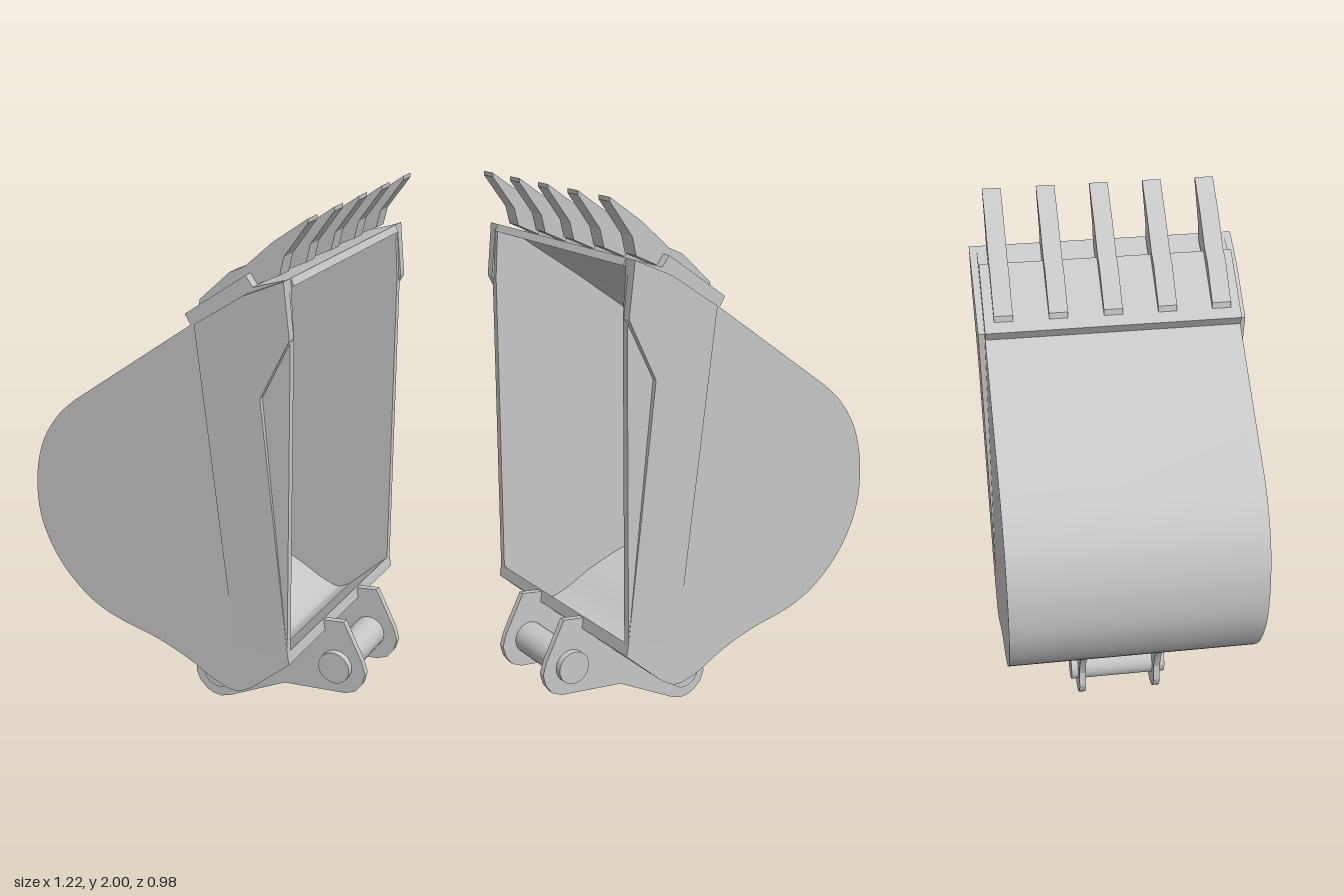
import * as THREE from 'three';
import { toCreasedNormals } from 'three/addons/utils/BufferGeometryUtils.js';

const HALF = 0.463;   // half width of the bucket
const WALL = 0.027;   // side plate thickness
const steel = new THREE.MeshStandardMaterial({ color: 0xc6c6c6 });
steel.name = 'steelGrey';

const vecs = (list) => list.map(([x, y]) => new THREE.Vector2(x, y));

// Extrude an XY outline between two z values, smooth over gentle bends only
function slab(points, z0, z1) {
  const g = new THREE.ExtrudeGeometry(new THREE.Shape(points), { depth: z1 - z0, bevelEnabled: false });
  g.translate(0, 0, z0);
  return toCreasedNormals(g, 0.25);
}

function add(parent, name, geometry) {
  const m = new THREE.Mesh(geometry, steel);
  m.name = name;
  parent.add(m);
  return m;
}

// Outer bucket profile: lip, straight back, round heel, dip and hinge edge
function outerProfile() {
  const curve = new THREE.SplineCurve(vecs([
    [-0.42, 1.255], [-0.497, 1.185], [-0.57, 1.075], [-0.606, 0.94], [-0.606, 0.8],
    [-0.575, 0.69], [-0.51, 0.58], [-0.42, 0.49], [-0.34, 0.44], [-0.245, 0.405],
    [-0.1, 0.37], [0.03, 0.32], [0.14, 0.262], [0.228, 0.237], [0.296, 0.268],
  ]));
  return [
    ...vecs([[0.42, 1.8], [0.295, 1.76], [0.06, 1.6]]),
    ...curve.getPoints(56),
    new THREE.Vector2(0.445, 0.4),
  ];
}

// Same profile pushed inwards by the plate thickness
function innerProfile(outer, t) {
  return outer.map((p, i) => {
    if (i === 0) return new THREE.Vector2(0.432, 1.775);
    if (i === outer.length - 1) return new THREE.Vector2(0.437, 0.445);
    const d = outer[i + 1].clone().sub(outer[i - 1]).normalize();
    return new THREE.Vector2(p.x - d.y * t, p.y + d.x * t);
  });
}

export function createModel() {
  const model = new THREE.Group();
  model.name = 'excavatorBucket';

  // Curved shell
  const outer = outerProfile();
  const inner = innerProfile(outer, 0.03);
  add(model, 'shell', slab([...outer, ...inner.reverse()], -HALF + WALL, HALF - WALL));

  // Side plates and the flared side cutters
  const sideOutline = [...outer, ...vecs([[0.437, 0.445], [0.434, 1.6]])];
  const cutterOutline = vecs([
    [0.42, 1.8], [0.27, 1.733], [0.085, 1.61], [0.236, 0.35],
    [0.38, 0.35], [0.437, 0.45], [0.397, 0.81], [0.333, 1.385], [0.442, 1.605],
  ]);
  for (const s of [1, -1]) {
    const name = s > 0 ? 'front' : 'back';
    const z = s * (HALF - WALL / 2);
    add(model, name + 'SidePlate', slab(sideOutline, z - WALL / 2, z + WALL / 2));

    // Wedge the cutter so its outer face leans out towards the top
    const g = slab(cutterOutline, -0.5, 0.5);
    const p = g.attributes.position;
    for (let i = 0; i < p.count; i++) {
      const lean = p.getZ(i) * s > 0 ? (p.getY(i) - 0.42) * 0.0196 : -0.01;
      p.setZ(i, s * (HALF + lean));
    }
    g.computeVertexNormals();
    add(model, name + 'SideCutter', g);
  }

  // Cutting edge plate across the lip
  add(model, 'cuttingEdge', slab(vecs([
    [0.06, 1.597], [0.297, 1.758], [0.268, 1.797], [0.037, 1.635],
  ]), -HALF, HALF));

  // Five digging teeth
  const toothOutline = vecs([
    [0.072, 1.655], [0.29, 1.76], [0.375, 1.8], [0.39, 1.865], [0.475, 1.985],
    [0.475, 2.0], [0.35, 1.91], [0.245, 1.815], [0.19, 1.79], [0.075, 1.682],
  ]);
  for (let i = -2; i <= 2; i++) {
    const z = i * 0.197;
    add(model, 'tooth', slab(toothOutline, z - 0.034, z + 0.034));
  }

  // Pair of hinge brackets under the bucket
  const bracketOutline = vecs([
    [-0.285, 0.418], [-0.153, 0.27], [-0.12, 0.215], [-0.1, 0.15], [-0.105, 0.085],
    [-0.09, 0.047], [-0.06, 0.018], [-0.03, 0.004], [0.005, 0], [0.045, 0.013],
    [0.28, 0.133], [0.535, 0.157], [0.575, 0.175], [0.6, 0.21], [0.611, 0.255],
    [0.595, 0.305], [0.52, 0.45], [0.44, 0.44], [0.435, 0.405], [0.296, 0.28],
    [0.228, 0.25], [0.14, 0.275], [0.03, 0.335], [-0.1, 0.385],
  ]);
  for (const z of [0.151, -0.151]) {
    add(model, 'hingeBracket', slab(bracketOutline, z - 0.0125, z + 0.0125));
  }

  // Hinge pins
  for (const [x, y] of [[0.005, 0.117], [0.495, 0.265]]) {
    const pin = add(model, 'hingePin', new THREE.CylinderGeometry(0.062, 0.062, 0.38, 32));
    pin.rotation.x = Math.PI / 2;
    pin.position.set(x, y, 0);
  }

  return model;
}
